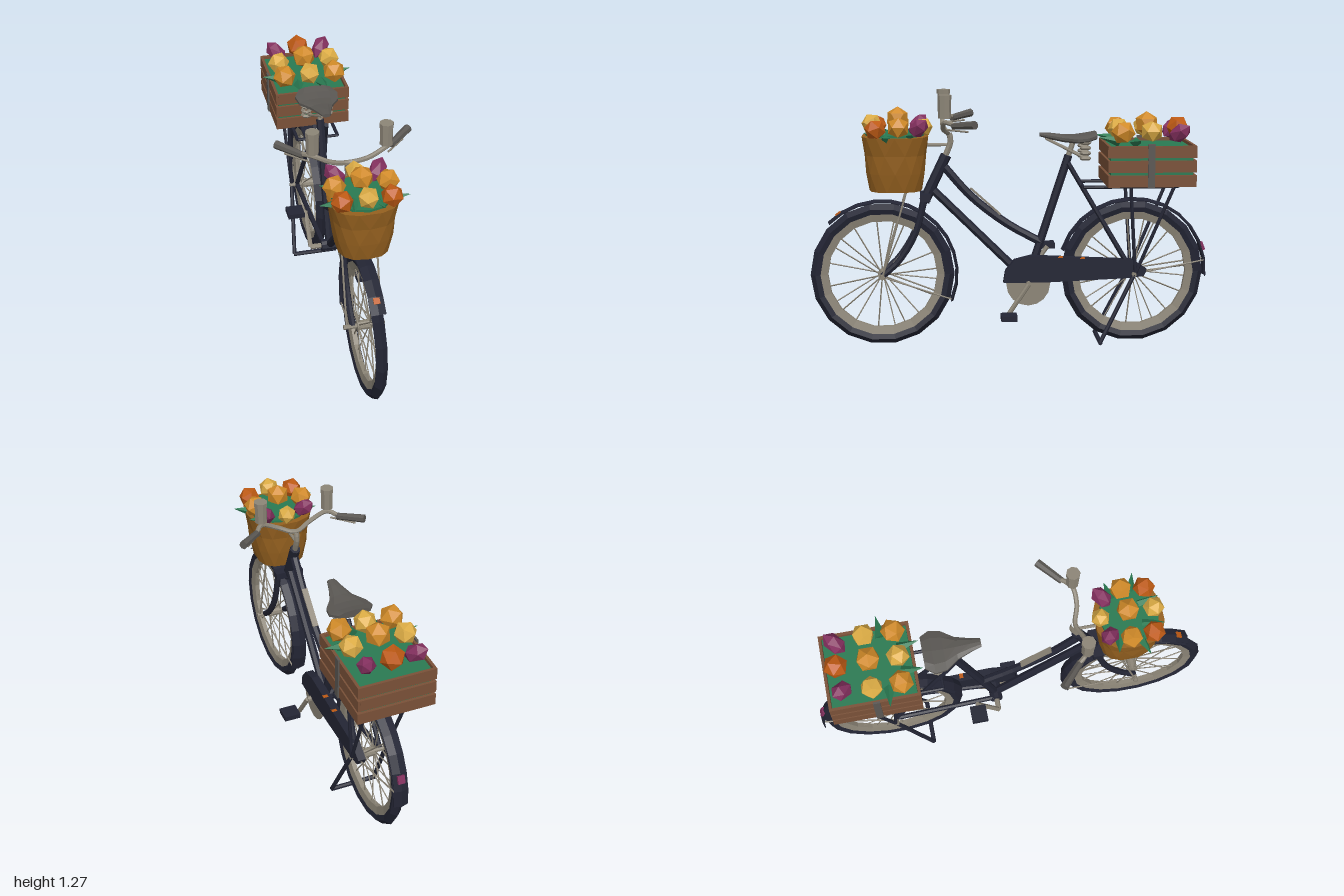
import * as THREE from 'three';

const paint = (name, color) => {
  const m = new THREE.MeshStandardMaterial({ color });
  m.name = name;
  return m;
};
const V = (x, y, z) => new THREE.Vector3(x, y, z);
const UP = V(0, 1, 0);

export function createModel() {
  const model = new THREE.Group();
  model.name = 'flowerBicycle';
  const dark = paint('dark navy', 0x232534), metal = paint('warm metal', 0x8c8577),
    leather = paint('grey leather', 0x5a5753), wicker = paint('wicker', 0x94601f),
    wood = paint('crate wood', 0x7a5138), green = paint('leaf green', 0x2a7a52),
    yellow = paint('yellow', 0xdcac45), orange = paint('orange', 0xd08a28),
    rust = paint('rust orange', 0xbe5a14), plum = paint('plum', 0x84305f);

  // Faceted mesh: split corners so every face has its own normal
  const add = (name, geometry, material, parent = model) => {
    const g = geometry.index ? geometry.toNonIndexed() : geometry;
    g.computeVertexNormals();
    const mesh = new THREE.Mesh(g, material);
    mesh.name = name;
    parent.add(mesh);
    return mesh;
  };
  const group = (name) => {
    const g = new THREE.Group();
    g.name = name;
    model.add(g);
    return g;
  };
  const box = (name, w, h, d, x, y, z, mat, parent) => {
    const m = add(name, new THREE.BoxGeometry(w, h, d), mat, parent);
    m.position.set(x, y, z);
    return m;
  };
  // Straight tube between two points
  const rod = (name, a, b, r, mat, parent, r2 = r, sides = 7) => {
    const p = V(...a), d = V(...b).sub(p);
    const m = add(name, new THREE.CylinderGeometry(r2, r, d.length(), sides), mat, parent);
    m.position.copy(p).addScaledVector(d, 0.5);
    m.quaternion.setFromUnitVectors(UP, d.normalize());
    return m;
  };
  const tube = (name, pts, r, mat, parent, steps = 10) =>
    add(name, new THREE.TubeGeometry(new THREE.CatmullRomCurve3(pts.map((p) => V(...p))), steps, r, 7), mat, parent);
  // Ring about the x axis; profile is [radius, sideways], angle runs from +z to +y
  const ring = (name, profile, segs, mat, parent, start = 0, length = Math.PI * 2) => {
    const pts = [...profile, profile[0]].map(([r, s]) => new THREE.Vector2(r, s));
    return add(name, new THREE.LatheGeometry(pts, segs, start, length).rotateZ(Math.PI / 2), mat, parent);
  };
  // Skin over equal-length rings, closed at both ends
  const loft = (rings) => {
    const n = rings[0].length, pos = [], idx = [];
    rings.forEach((r) => r.forEach((p) => pos.push(...p)));
    for (const r of [rings[0], rings[rings.length - 1]])
      pos.push(...[0, 1, 2].map((k) => r.reduce((s, p) => s + p[k], 0) / n));
    const c0 = rings.length * n;
    for (let j = 0; j < n; j++) {
      const k = (j + 1) % n, top = c0 - n;
      for (let i = 0; i < rings.length - 1; i++) {
        const a = i * n + j, b = i * n + k;
        idx.push(a, b, a + n, b + n, a + n, b);
      }
      idx.push(c0, k, j, c0 + 1, top + j, top + k);
    }
    const g = new THREE.BufferGeometry();
    g.setAttribute('position', new THREE.Float32BufferAttribute(pos, 3));
    g.setIndex(idx);
    return g;
  };

  // Wheels with tyre, rim, hub and spokes, plus the mudguard over each
  const deg = Math.PI / 180;
  const wheel = (name, z, from, to) => {
    const w = group(name);
    w.position.set(0, 0.362, z);
    ring('tyre', [[0.308, -0.02], [0.335, -0.028], [0.36, 0], [0.335, 0.028], [0.308, 0.02]], 18, dark, w);
    ring('rim', [[0.272, -0.012], [0.312, -0.021], [0.312, 0.021], [0.272, 0.012]], 18, metal, w);
    rod('hub', [-0.035, 0, 0], [0.035, 0, 0], 0.024, metal, w, 0.024, 10);
    rod('axle', [-0.1, 0, 0], [0.1, 0, 0], 0.012, metal, w);
    for (let i = 0; i < 20; i++) {
      const a = (i * 18 + 9) * deg, b = a + (i % 4 < 2 ? 0.06 : -0.06), s = i % 2 ? 0.028 : -0.028;
      rod('spoke', [s, Math.sin(a) * 0.02, Math.cos(a) * 0.02],
        [0, Math.sin(b) * 0.28, Math.cos(b) * 0.28], 0.0035, metal, w, 0.0035, 4);
    }
    ring('mudguard', [[0.365, -0.035], [0.37, -0.036], [0.38, 0], [0.37, 0.036], [0.365, 0.035], [0.374, 0]],
      12, dark, w, from * deg, (to - from) * deg);
    return w;
  };
  const front = wheel('frontWheel', 0.636, 45, 202);
  const rear = wheel('rearWheel', -0.62, 18, 184);
  const mark = box('frontReflector', 0.03, 0.006, 0.03, 0, 0.31, 0.218, rust, front);
  mark.rotation.x = 35 * deg;
  box('tailReflector', 0.035, 0.04, 0.016, 0, 0.125, -0.357, plum, rear).rotation.x = 20 * deg;

  // Frame tubes
  const frame = group('frame');
  rod('headTube', [0, 0.73, 0.425], [0, 0.96, 0.315], 0.027, dark, frame, 0.027, 8);
  rod('downTube', [0, 0.8, 0.395], [0, 0.33, -0.08], 0.021, dark, frame);
  tube('topTube', [[0, 0.92, 0.34], [0, 0.75, 0.19], [0, 0.61, 0.01], [0, 0.515, -0.16]], 0.021, dark, frame);
  box('topTubePlate', 0.03, 0.008, 0.2, 0, 0.726, 0.12, metal, frame).rotation.x = -42 * deg;
  rod('seatTube', [0, 0.32, -0.09], [0, 0.955, -0.295], 0.021, dark, frame);
  rod('bottomBracket', [-0.045, 0.32, -0.09], [0.045, 0.32, -0.09], 0.032, dark, frame, 0.032, 10);
  box('forkCrown', 0.145, 0.035, 0.05, 0, 0.755, 0.42, dark, frame);
  for (const s of [-1, 1]) {
    tube('forkLeg', [[s * 0.055, 0.76, 0.42], [s * 0.056, 0.565, 0.475], [s * 0.055, 0.43, 0.56], [s * 0.055, 0.362, 0.636]], 0.016, dark, frame);
    rod('seatStay', [s * 0.03, 0.92, -0.29], [s * 0.06, 0.37, -0.615], 0.012, dark, frame);
    rod('chainStay', [s * 0.035, 0.33, -0.1], [s * 0.06, 0.362, -0.62], 0.013, dark, frame);
    rod('basketStay', [s * 0.085, 0.8, 0.51], [s * 0.085, 0.362, 0.636], 0.005, metal, frame);
    rod('frontGuardStay', [s * 0.07, 0.36, 0.636], [s * 0.03, 0.235, 0.295], 0.004, metal, frame);
    rod('rearGuardStay', [s * 0.07, 0.36, -0.62], [s * 0.03, 0.42, -0.985], 0.004, metal, frame);
    rod('standLeg', [s * 0.09, 0.36, -0.62], [s * 0.115, 0.02, -0.45], 0.011, dark, frame);
  }
  rod('standFoot', [-0.118, 0.018, -0.45], [0.118, 0.018, -0.45], 0.012, dark, frame);

  // Chain guard, chainring, cranks and pedals
  const drive = group('drivetrain');
  const outline = [[-0.035, 0.325], [-0.025, 0.385], [0.02, 0.44], [0.1, 0.46], [0.61, 0.435], [0.685, 0.385], [0.67, 0.352], [0.6, 0.342], [0.18, 0.325]];
  const shape = new THREE.Shape(outline.map(([a, y]) => new THREE.Vector2(a, y)));
  add('chainGuard', new THREE.ExtrudeGeometry(shape, { depth: 0.04, bevelEnabled: false }).rotateY(Math.PI / 2), dark, drive)
    .position.x = 0.042;
  for (const z of [-0.25, -0.36])
    box('guardMark', 0.025, 0.005, 0.025, 0.07, 0.458 + (z + 0.1) * 0.05, z, rust, drive);
  rod('chainring', [0.058, 0.315, -0.09], [0.068, 0.315, -0.09], 0.11, metal, drive, 0.11, 16);
  rod('crankAxle', [-0.1, 0.32, -0.09], [0.1, 0.32, -0.09], 0.014, metal, drive);
  for (const [s, y, z] of [[1, 0.168, 0.012], [-1, 0.473, -0.2]]) {
    rod('crank', [s * 0.1, 0.32, -0.09], [s * 0.104, y, z], 0.012, metal, drive);
    box('pedal', 0.085, 0.026, 0.08, s * 0.157, y, z, dark, drive);
  }

  // Handlebar with grips, levers and cups
  const bars = group('handlebar');
  tube('stem', [[0, 0.94, 0.325], [0, 1.03, 0.292], [0, 1.07, 0.3]], 0.015, metal, bars, 6);
  tube('bar', [[-0.22, 1.128, 0.27], [-0.175, 1.14, 0.32], [-0.09, 1.1, 0.33], [0, 1.07, 0.305],
    [0.09, 1.1, 0.33], [0.175, 1.14, 0.32], [0.22, 1.128, 0.27]], 0.012, metal, bars, 24);
  rod('basketBracket', [0, 1.012, 0.31], [0, 1.012, 0.42], 0.008, metal, bars);
  for (const s of [-1, 1]) {
    rod('grip', [s * 0.21, 1.125, 0.282], [s * 0.32, 1.14, 0.182], 0.017, leather, bars, 0.021);
    rod('lever', [s * 0.19, 1.105, 0.31], [s * 0.285, 1.105, 0.215], 0.005, metal, bars);
    rod('cup', [s * 0.175, 1.16, 0.323], [s * 0.175, 1.25, 0.323], 0.031, metal, bars, 0.031, 8);
    rod('cupLid', [s * 0.175, 1.25, 0.323], [s * 0.175, 1.272, 0.323], 0.034, metal, bars, 0.034, 8);
  }

  // Saddle with springs
  const seat = group('seat');
  const sections = [[-0.15, 0.022, 1.05, 1.07], [-0.2, 0.035, 1.035, 1.068], [-0.27, 0.06, 1.02, 1.06],
    [-0.33, 0.105, 1.015, 1.058], [-0.385, 0.115, 1.02, 1.065], [-0.43, 0.085, 1.035, 1.075]];
  add('saddle', loft(sections.map(([z, w, lo, hi]) => Array.from({ length: 10 }, (_, i) => {
    const a = i * 36 * deg;
    return [Math.sin(a) * w, (lo + hi) / 2 + Math.cos(a) * (hi - lo) / 2, z];
  }))), leather, seat);
  rod('seatPost', [0, 0.94, -0.29], [0, 1.03, -0.32], 0.014, metal, seat);
  for (const s of [-1, 1]) {
    rod('saddleRail', [s * 0.015, 1.04, -0.18], [s * 0.05, 0.945, -0.37], 0.006, metal, seat);
    for (let i = 0; i < 4; i++)
      add('springCoil', new THREE.TorusGeometry(0.02, 0.009, 5, 8).rotateX(Math.PI / 2), metal, seat)
        .position.set(s * 0.055, 0.945 + i * 0.026, -0.373);
  }

  // Rear rack
  const rack = group('rack');
  for (const s of [-1, 1]) {
    rod('rackRail', [s * 0.105, 0.808, -0.36], [s * 0.105, 0.808, -0.83], 0.009, dark, rack);
    for (const z of [-0.595, -0.81])
      rod('rackStay', [s * 0.105, 0.805, z], [s * 0.09, 0.365, -0.625], 0.009, dark, rack);
  }
  for (const z of [-0.36, -0.52, -0.67, -0.83])
    rod('rackBar', [-0.105, 0.808, z], [0.105, 0.808, z], 0.008, dark, rack);

  // Slatted crate with straps
  const crate = group('crate');
  box('crateLining', 0.35, 0.175, 0.405, 0, 0.917, -0.688, green, crate);
  box('crateFloor', 0.37, 0.012, 0.425, 0, 0.823, -0.688, wood, crate);
  for (const y of [0.846, 0.918, 0.99]) {
    for (const s of [-1, 1]) {
      box('sideSlat', 0.014, 0.058, 0.435, s * 0.184, y, -0.688, wood, crate);
      box('endSlat', 0.355, 0.058, 0.014, 0, y, -0.688 + s * 0.211, wood, crate);
    }
  }
  for (const s of [-1, 1]) box('strap', 0.01, 0.215, 0.034, s * 0.193, 0.922, -0.682, leather, crate);

  // Faceted wicker basket; each ring is turned half a step from the last
  const basket = group('basket');
  const rounded = (a, w) => Math.sign(w) * Math.abs(w) ** 0.75 * a;
  add('basketBody', loft([[0.79, 0.122, 0.13], [0.88, 0.14, 0.146], [0.97, 0.148, 0.152], [1.06, 0.163, 0.166]]
    .map(([y, w, d], i) => Array.from({ length: 14 }, (_, j) => {
      const a = (j + i / 2) / 14 * Math.PI * 2;
      return [rounded(w, Math.sin(a)), y, 0.565 + rounded(d, Math.cos(a))];
    }))), wicker, basket);
  add('basketFill', new THREE.CylinderGeometry(0.145, 0.145, 0.02, 12), green, basket).position.set(0, 1.062, 0.565);

  // Blooms lean away from the middle of their bunch; plum ones are long buds
  const bunch = (name, cz, list) => {
    const g = group(name);
    for (const [x, y, z, r, mat] of list) {
      const geo = new THREE.IcosahedronGeometry(r, 0).rotateZ(Math.atan(0.618));
      if (mat === plum) geo.scale(0.8, 1.25, 0.8);
      const m = add(mat === plum ? 'bud' : 'bloom', geo, mat, g);
      m.position.set(x, y, z);
      m.quaternion.setFromUnitVectors(UP, V(x * 4, mat === plum ? 0.5 : 1, (z - cz) * 4).normalize());
    }
    return g;
  };
  const leaf = (x, y, z, dx, dz, parent) =>
    rod('leaf', [x, y, z], [x + dx, y + 0.02, z + dz], 0.028, green, parent, 0.001, 4);
  const frontBunch = bunch('basketFlowers', 0.56, [
    [0, 1.1, 0.425, 0.047, yellow], [-0.1, 1.105, 0.45, 0.053, plum], [0.1, 1.105, 0.45, 0.053, plum],
    [-0.125, 1.11, 0.548, 0.056, orange], [0, 1.145, 0.553, 0.058, orange], [0.125, 1.11, 0.548, 0.056, orange],
    [-0.115, 1.1, 0.66, 0.054, rust], [0, 1.118, 0.68, 0.052, yellow], [0.115, 1.1, 0.66, 0.054, rust]]);
  const rearBunch = bunch('crateFlowers', -0.69, [
    [-0.12, 1.075, -0.83, 0.055, plum], [0, 1.09, -0.84, 0.06, rust], [0.12, 1.075, -0.83, 0.055, plum],
    [-0.133, 1.085, -0.69, 0.057, yellow], [0, 1.11, -0.685, 0.062, orange], [0.133, 1.085, -0.69, 0.057, yellow],
    [-0.13, 1.08, -0.55, 0.06, orange], [0, 1.085, -0.545, 0.057, yellow], [0.13, 1.08, -0.55, 0.06, orange]]);
  for (const s of [-1, 1]) {
    leaf(s * 0.12, 1.05, 0.6, s * 0.09, 0.025, frontBunch);
    leaf(s * 0.1, 1.06, 0.5, s * 0.08, -0.02, frontBunch);
    leaf(s * 0.05, 1.06, 0.62, s * 0.02, 0.1, frontBunch);
    leaf(s * 0.13, 1.03, -0.61, s * 0.1, -0.01, rearBunch);
    leaf(s * 0.06, 1.03, -0.54, s * 0.01, 0.1, rearBunch);
  }
  return model;
}
